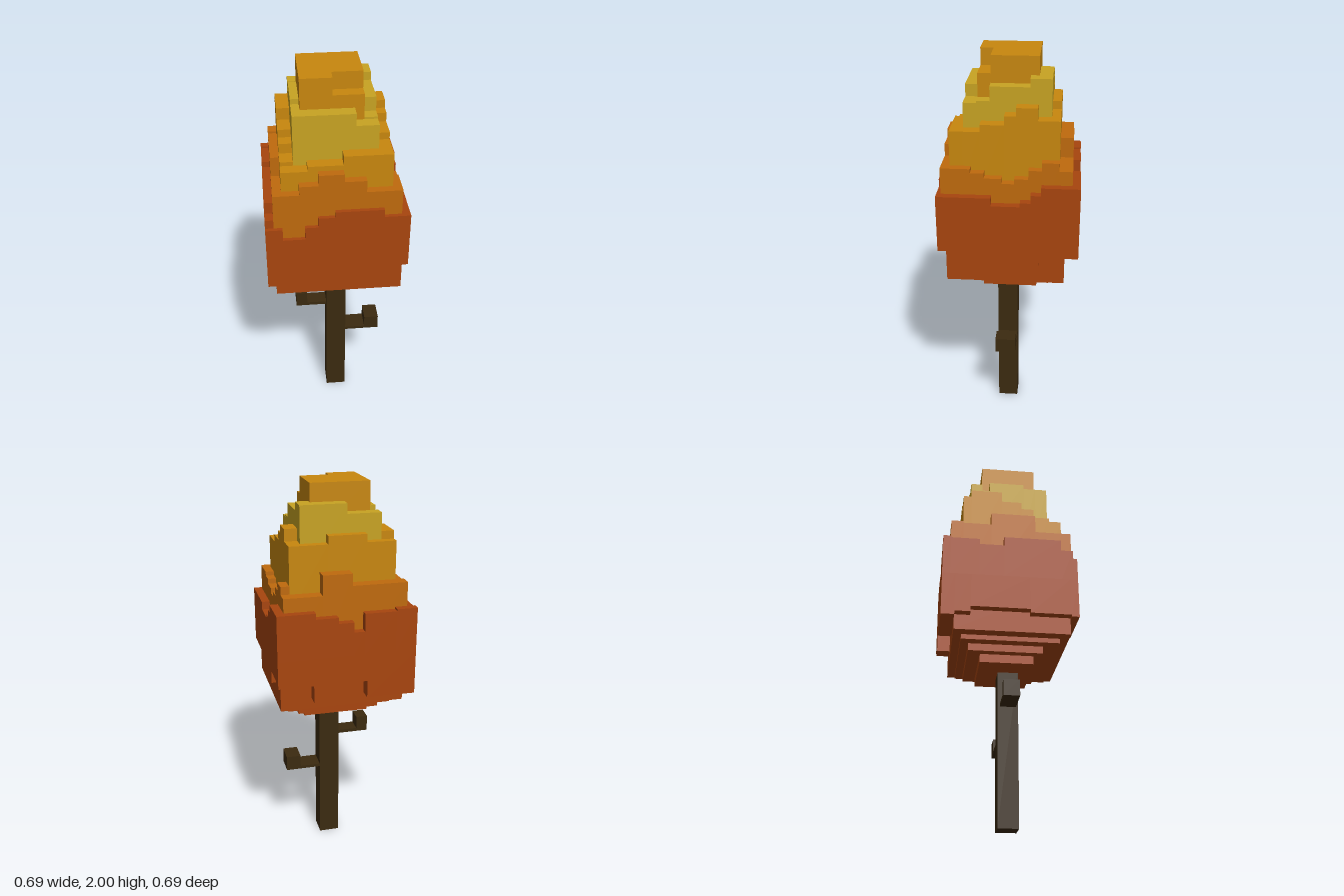
import * as THREE from 'three';

const mat = (name, color) => new THREE.MeshStandardMaterial({ name, color });

// Box from min and max corners
function block(parent, name, material, x0, x1, y0, y1, z0, z1) {
  const mesh = new THREE.Mesh(new THREE.BoxGeometry(x1 - x0, y1 - y0, z1 - z0), material);
  mesh.position.set((x0 + x1) / 2, (y0 + y1) / 2, (z0 + z1) / 2);
  mesh.name = name;
  parent.add(mesh);
}

// Square ring of columns. Rects are [x0, x1, z0, z1]; every side is a list of
// [end, height] steps in rising x or z, and each column runs from base to height.
function ring(parent, name, material, outer, inner, base, sides) {
  const group = new THREE.Group();
  group.name = name;
  parent.add(group);
  const [ox0, ox1, oz0, oz1] = outer, [ix0, ix1, iz0, iz1] = inner;
  const run = (side, start, place) => {
    let a = start;
    for (const [b, h] of sides[side]) {
      place(a, b, Math.min(base, h), Math.max(base, h), name + ' ' + side);
      a = b;
    }
  };
  run('front', ox0, (a, b, lo, hi, n) => block(group, n, material, a, b, lo, hi, iz1, oz1));
  run('back', ox0, (a, b, lo, hi, n) => block(group, n, material, a, b, lo, hi, oz0, iz0));
  run('left', iz0, (a, b, lo, hi, n) => block(group, n, material, ix1, ox1, lo, hi, a, b));
  run('right', iz0, (a, b, lo, hi, n) => block(group, n, material, ox0, ix0, lo, hi, a, b));
}

export function createModel() {
  const model = new THREE.Group();
  model.name = 'blocky autumn tree';
  const bark = mat('dark bark', 0x3b2a10);
  const rust = mat('rust leaves', 0xa8450e);
  const orange = mat('orange leaves', 0xbf6a0d);
  const amber = mat('amber leaves', 0xc8870e);
  const yellow = mat('yellow leaves', 0xc8a322);

  // Trunk and the two bent branches
  block(model, 'trunk', bark, -0.035, 0.072, 0, 0.82, -0.032, 0.073);
  block(model, 'left branch arm', bark, 0.072, 0.18, 0.427, 0.443, -0.032, 0.073);
  block(model, 'left branch tip', bark, 0.18, 0.257, 0.427, 0.507, -0.032, 0.073);
  block(model, 'right branch arm', bark, -0.14, -0.035, 0.615, 0.633, -0.02, 0.062);
  block(model, 'right branch tip', bark, -0.2, -0.14, 0.615, 0.7, -0.02, 0.062);

  // Stepped underside of the crown
  const under = [-0.306, 0.325, -0.28, 0.306];
  [
    [-0.16, 0.177, 0.803, 0.847, -0.137, 0.137],
    [-0.2, 0.22, 0.847, 0.885, -0.2, 0.18],
    [-0.25, 0.28, 0.885, 0.91, -0.24, 0.26],
    [under[0], under[1], 0.91, 1.2, under[2], under[3]],
  ].forEach((b) => block(model, 'crown underside', rust, ...b));

  // Footprints of the tiers, widest first
  const r1 = [-0.347, 0.347, -0.347, 0.345];
  const r2 = [-0.306, 0.306, -0.307, 0.324];
  const r3 = [-0.263, 0.263, -0.243, 0.282];
  const r4 = [-0.2, 0.2, -0.2, 0.22];
  const r5 = [-0.16, 0.137, -0.137, 0.156];

  // Ragged lower edge of the rust tier
  ring(model, 'rust lower edge', rust, r1, under, 1.2, {
    front: [[-0.1, 0.99], [0.09, 1.035], [0.347, 1.08]],
    back: [[-0.1, 0.97], [0.1, 1.06], [0.17, 0.97], [0.347, 1.06]],
    left: [[-0.155, 1.08], [0.03, 1.015], [0.306, 1.08]],
    right: [[-0.2, 0.99], [0.1, 1.02], [0.306, 1.0]],
  });

  // Ragged upper edges of the tiers
  ring(model, 'rust tier', rust, r1, r2, 1.2, {
    front: [[-0.264, 1.325], [-0.158, 1.265], [-0.095, 1.33], [-0.013, 1.38], [0.22, 1.41], [0.347, 1.37]],
    back: [[-0.243, 1.42], [-0.084, 1.41], [-0.03, 1.32], [0.047, 1.37], [0.158, 1.4], [0.347, 1.43]],
    left: [[-0.16, 1.43], [-0.11, 1.39], [-0.06, 1.35], [0.08, 1.33], [0.324, 1.37]],
    right: [[-0.16, 1.41], [-0.033, 1.38], [0.263, 1.43], [0.324, 1.37]],
  });
  ring(model, 'orange tier', orange, r2, r3, 1.2, {
    front: [[-0.18, 1.5], [-0.09, 1.545], [0.03, 1.6], [0.135, 1.56], [0.306, 1.5]],
    back: [[-0.03, 1.54], [0.115, 1.6], [0.306, 1.5]],
    left: [[-0.16, 1.54], [-0.097, 1.5], [-0.03, 1.455], [0.03, 1.43], [0.115, 1.455], [0.18, 1.48], [0.282, 1.5]],
    right: [[-0.097, 1.53], [0.137, 1.6], [0.282, 1.5]],
  });
  ring(model, 'amber tier', amber, r3, r4, 1.4, {
    front: [[-0.137, 1.6], [0.03, 1.625], [0.263, 1.67]],
    back: [[-0.117, 1.73], [0.073, 1.77], [0.263, 1.73]],
    left: [[-0.137, 1.73], [-0.035, 1.79], [0.02, 1.75], [0.135, 1.705], [0.22, 1.67]],
    right: [[-0.035, 1.77], [0.07, 1.71], [0.135, 1.67], [0.22, 1.62]],
  });
  ring(model, 'yellow tier', yellow, r4, r5, 1.55, {
    front: [[0.093, 1.85], [0.2, 1.79]],
    back: [[-0.03, 1.86], [0.2, 1.91]],
    left: [[-0.097, 1.91], [0.093, 1.87], [0.156, 1.8]],
    right: [[-0.097, 1.82], [0.093, 1.875], [0.156, 1.85]],
  });

  // Amber tip with a notch in its front left corner
  block(model, 'tip', amber, -0.16, 0.137, 1.75, 2, -0.137, 0.092);
  block(model, 'tip front', amber, -0.16, -0.01, 1.75, 2, 0.092, 0.156);
  block(model, 'tip notch', amber, -0.01, 0.137, 1.75, 1.915, 0.092, 0.156);
  return model;
}
